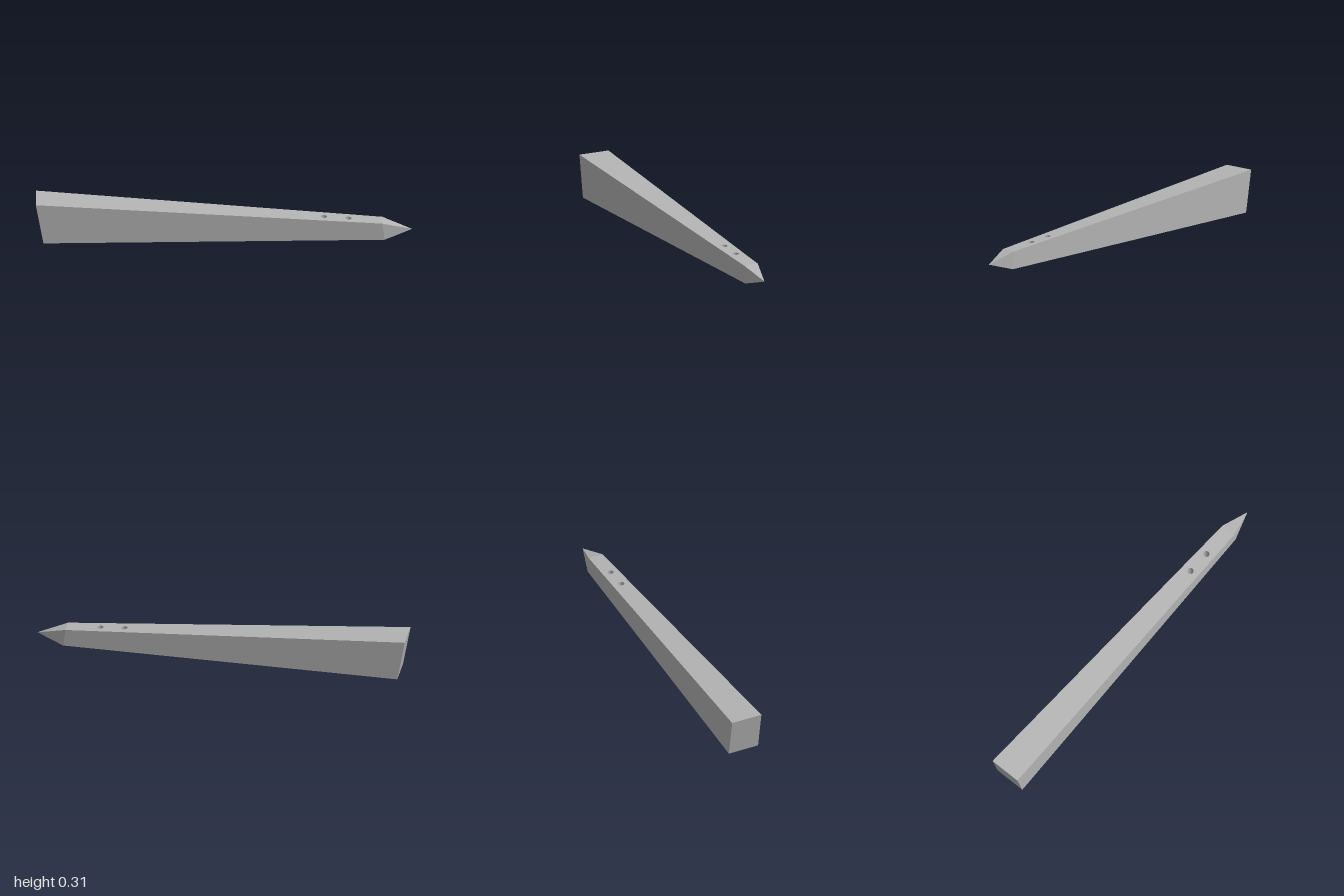
import * as THREE from 'three';

// Work along +x first (x = length, y = height, z = width), then turn 45 degrees.
const REAR = -1.296, SHOULDER = 1.199, TIP = 1.414;
const REAR_HALF = 0.117, FRONT_HALF = 0.055;
const REAR_HEIGHT = 0.308, FRONT_HEIGHT = 0.13, TIP_HEIGHT = 0.06;
const REAR_SLANT = 0.055, FRONT_SLANT = 0.017; // forward shift of the lower corners

const topHeight = (x) =>
  THREE.MathUtils.mapLinear(x, REAR, SHOULDER, REAR_HEIGHT, FRONT_HEIGHT);

// Tapered bar with two drilled holes
function makeBar() {
  const outline = new THREE.Shape([
    new THREE.Vector2(REAR, -REAR_HALF),
    new THREE.Vector2(SHOULDER, -FRONT_HALF),
    new THREE.Vector2(SHOULDER, FRONT_HALF),
    new THREE.Vector2(REAR, REAR_HALF),
  ]);
  for (const x of [0.778, 0.954]) {
    outline.holes.push(new THREE.Path().absarc(x, 0, 0.023, 0, Math.PI * 2, true));
  }
  const geometry = new THREE.ExtrudeGeometry(outline, {
    depth: 1, bevelEnabled: false, curveSegments: 16,
  });
  geometry.rotateX(-Math.PI / 2);

  // Slope the top and slant both ends
  const p = geometry.attributes.position;
  for (let i = 0; i < p.count; i++) {
    const x = p.getX(i);
    if (p.getY(i) > 0.5) {
      p.setY(i, topHeight(x));
    } else {
      p.setY(i, 0);
      if (x < -1.1) p.setX(i, x + REAR_SLANT);
      if (x > 1.1) p.setX(i, x + FRONT_SLANT);
    }
  }
  geometry.computeVertexNormals();
  return geometry;
}

// Four-sided point closing the narrow end
function makePoint() {
  const low = SHOULDER + FRONT_SLANT;
  const ring = [
    [SHOULDER, FRONT_HEIGHT, -FRONT_HALF],
    [SHOULDER, FRONT_HEIGHT, FRONT_HALF],
    [low, 0, FRONT_HALF],
    [low, 0, -FRONT_HALF],
  ];
  const corners = [];
  ring.forEach((corner, i) => {
    corners.push(...corner, ...ring[(i + 1) % 4], TIP, TIP_HEIGHT, 0);
  });
  const geometry = new THREE.BufferGeometry();
  geometry.setAttribute('position', new THREE.Float32BufferAttribute(corners, 3));
  geometry.computeVertexNormals();
  return geometry;
}

export function createModel() {
  const steel = new THREE.MeshStandardMaterial({ color: 0xb4b4b4 });
  steel.name = 'steel grey';

  const model = new THREE.Group();
  model.name = 'taperedSpike';
  const parts = { drilledBar: makeBar(), point: makePoint() };
  for (const [name, geometry] of Object.entries(parts)) {
    const mesh = new THREE.Mesh(geometry, steel);
    mesh.name = name;
    mesh.rotation.y = Math.PI / 4;
    model.add(mesh);
  }
  return model;
}
